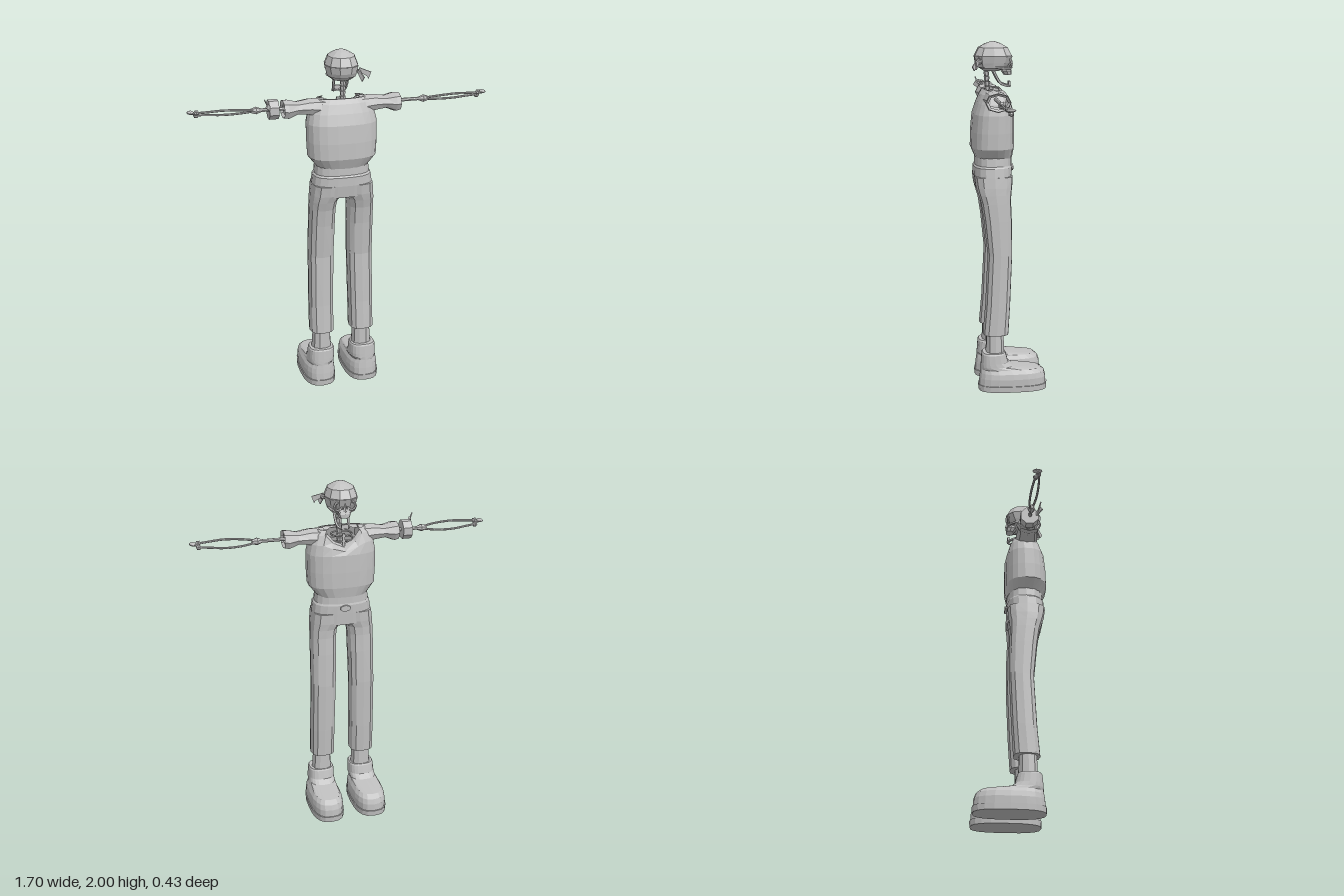
import * as THREE from 'three';

const grey = new THREE.MeshStandardMaterial({ color: 0xc0c0c0, flatShading: true, side: THREE.DoubleSide });
grey.name = 'plain grey';

function add(parent, name, geometry, x = 0, y = 0, z = 0) {
  const mesh = new THREE.Mesh(geometry, grey);
  mesh.name = name;
  mesh.position.set(x, y, z);
  parent.add(mesh);
  return mesh;
}

// Skin over rings of points stacked upwards; optional end caps
function loft(rings, { capStart = true, capEnd = true, closed = true } = {}) {
  const n = rings[0].length, pos = [], idx = [];
  rings.forEach(r => r.forEach(p => pos.push(p[0], p[1], p[2])));
  for (let i = 0; i < rings.length - 1; i++) {
    for (let j = 0; j < (closed ? n : n - 1); j++) {
      const a = i * n + j, b = i * n + (j + 1) % n;
      idx.push(a, a + n, b, b, a + n, b + n);
    }
  }
  const top = (rings.length - 1) * n;
  for (let j = 1; j < n - 1; j++) {
    if (capStart) idx.push(0, j, j + 1);
    if (capEnd) idx.push(top, top + j + 1, top + j);
  }
  const g = new THREE.BufferGeometry();
  g.setAttribute('position', new THREE.Float32BufferAttribute(pos, 3));
  g.setIndex(idx);
  g.computeVertexNormals();
  return g;
}

// Horizontal rounded ring from its extents: [y, xMin, xMax, zMin, zMax]
function ring([y, x0, x1, z0, z1], n = 16, power = 2.6, from = 0, to = Math.PI * 2) {
  const full = to - from > 6.28;
  const soft = v => Math.sign(v) * Math.abs(v) ** (2 / power);
  return Array.from({ length: n }, (_, j) => {
    const a = from + (to - from) * j / (full ? n : n - 1);
    return [(x0 + x1) / 2 + soft(Math.cos(a)) * (x1 - x0) / 2, y, (z0 + z1) / 2 + soft(Math.sin(a)) * (z1 - z0) / 2];
  });
}
const stack = (sections, n, power, options) => loft(sections.map(s => ring(s, n, power)), options);

function tube(points, radius, steps = 10, sides = 6) {
  return new THREE.TubeGeometry(new THREE.CatmullRomCurve3(points.map(p => new THREE.Vector3(...p))), steps, radius, sides);
}

function cloth(points) {
  const shape = new THREE.Shape(points.map(p => new THREE.Vector2(...p)));
  return new THREE.ExtrudeGeometry(shape, { depth: 0.008, bevelEnabled: false });
}

// One leg with shoe, on the +x side
function buildLeg() {
  const leg = new THREE.Group();
  leg.name = 'leg';
  add(leg, 'trouserLeg', stack([
    [0.33, 0.05, 0.19, 0.01, 0.16], [0.5, 0.048, 0.19, 0.0, 0.145], [0.8, 0.042, 0.188, -0.012, 0.13],
    [1.0, 0.038, 0.186, -0.01, 0.15], [1.1, 0.037, 0.184, -0.006, 0.165], [1.15, 0.03, 0.182, -0.008, 0.18],
    [1.19, 0.0, 0.18, -0.015, 0.192], [1.25, 0.0, 0.173, -0.018, 0.2]], 12, 2.8));
  add(leg, 'ankle', stack([[0.2, 0.062, 0.182, 0.035, 0.145], [0.36, 0.07, 0.172, 0.04, 0.14]], 10, 2.3));
  add(leg, 'sole', stack([[0, 0.033, 0.229, -0.21, 0.188], [0.034, 0.031, 0.231, -0.213, 0.19]], 20, 2.8));
  add(leg, 'shoe', stack([
    [0.03, 0.037, 0.225, -0.207, 0.186], [0.075, 0.035, 0.227, -0.205, 0.182], [0.105, 0.04, 0.222, -0.195, 0.178],
    [0.126, 0.052, 0.21, -0.168, 0.175], [0.142, 0.05, 0.205, -0.015, 0.174], [0.165, 0.05, 0.203, 0.015, 0.172],
    [0.215, 0.05, 0.2, 0.028, 0.168], [0.224, 0.055, 0.195, 0.033, 0.163]], 20, 2.8));
  return leg;
}

// One sleeve with skeletal arm, on the +x side
function buildArm() {
  const arm = new THREE.Group();
  arm.name = 'arm';
  const sections = [[0.1, 1.63, 1.738, 0.025, 0.155], [0.18, 1.645, 1.737, 0.025, 0.15], [0.25, 1.655, 1.725, 0.03, 0.142],
    [0.305, 1.632, 1.739, 0.015, 0.158], [0.33, 1.638, 1.738, 0.022, 0.155], [0.315, 1.65, 1.725, 0.035, 0.14]];
  add(arm, 'sleeve', loft(sections.map(([x, y0, y1, z0, z1]) =>
    ring([x, y0, y1, z0, z1], 8, 2.2).map(p => [p[1], p[0], p[2]]).reverse()), { capEnd: false }));
  const bone = (name, x0, x1, r0, r1, y = 1.69) => {
    const g = new THREE.CylinderGeometry(r1, r0, x1 - x0, 7).rotateZ(-Math.PI / 2);
    return add(arm, name, g, (x0 + x1) / 2, y, 0.085);
  };
  bone('upperArmBone', 0.12, 0.46, 0.011, 0.01);
  bone('elbowFlare', 0.445, 0.475, 0.009, 0.021);
  bone('elbow', 0.475, 0.505, 0.022, 0.012);
  for (const s of [-1, 1]) {
    add(arm, 'forearmBone', tube([[0.495, 1.69 + s * 0.006, 0.085 + s * 0.008], [0.56, 1.69 + s * 0.014, 0.085 + s * 0.018],
      [0.66, 1.692 + s * 0.018, 0.085 + s * 0.021], [0.74, 1.694 + s * 0.012, 0.085 + s * 0.016],
      [0.8, 1.695 + s * 0.008, 0.085 + s * 0.01]], 0.0065));
    add(arm, 'wristKnob', new THREE.IcosahedronGeometry(0.016, 0), 0.8, 1.695 + s * 0.01, 0.085 + s * 0.008);
  }
  bone('wrist', 0.8, 0.835, 0.01, 0.007, 1.7);
  add(arm, 'hand', new THREE.IcosahedronGeometry(1, 1).scale(0.019, 0.009, 0.027), 0.831, 1.705, 0.083);
  return arm;
}

function buildTorso() {
  const torso = new THREE.Group();
  torso.name = 'torso';
  add(torso, 'hips', stack([
    [1.18, -0.175, 0.175, -0.014, 0.19], [1.25, -0.172, 0.172, -0.018, 0.2], [1.3, -0.165, 0.165, -0.02, 0.2],
    [1.31, -0.156, 0.156, -0.017, 0.192], [1.37, -0.15, 0.15, -0.017, 0.19]], 18, 2.7));
  add(torso, 'beltBuckle', new THREE.CylinderGeometry(0.026, 0.026, 0.012, 10).rotateX(Math.PI / 2).scale(1.2, 0.7, 1), 0, 1.285, -0.023);

  const body = [[1.35, -0.145, 0.145, -0.02, 0.19], [1.41, -0.192, 0.192, -0.03, 0.215], [1.5, -0.197, 0.197, -0.031, 0.213],
    [1.6, -0.198, 0.198, -0.029, 0.203], [1.66, -0.185, 0.185, -0.018, 0.182], [1.71, -0.16, 0.16, 0.005, 0.16],
    [1.735, -0.135, 0.135, 0.03, 0.138]];
  // Shirt front scoops down into a deep neckline
  const shirt = body.map(([y, x0, x1, z0, z1]) => ring([y, x0 * 0.96, x1 * 0.96, z0, z1 - 0.01], 20, 2.7).map(([x, py, z]) => {
    const front = z < 0.07 ? Math.max(0, 1 - (x / 0.1) ** 2) : 0;
    return [x, py - front * Math.max(0, py - 1.6) * 0.65, z];
  }));
  add(torso, 'shirt', loft(shirt, { capStart: true, capEnd: false }));
  // Open jacket wraps the sides and back
  const gap = 0.62;
  add(torso, 'jacket', loft(body.map(s => ring(s, 18, 2.7, -Math.PI / 2 + gap, Math.PI * 1.5 - gap)),
    { capStart: false, capEnd: false, closed: false }));
  add(torso, 'jacketYoke', loft([ring(body[6], 18, 2.7, -0.3, Math.PI + 0.3), ring([1.722, -0.07, 0.07, 0.05, 0.13], 18, 2, -0.3, Math.PI + 0.3)],
    { capStart: false, capEnd: false, closed: false }));
  // Ribs and breastbone inside the neckline
  for (let i = 0; i < 3; i++) {
    const w = 0.06 + i * 0.012, y = 1.7 - i * 0.03;
    add(torso, 'rib', new THREE.TorusGeometry(1, 0.09, 5, 14).rotateX(Math.PI / 2).scale(w, 0.06, 0.05), 0, y, 0.07);
  }
  add(torso, 'breastbone', new THREE.BoxGeometry(0.016, 0.09, 0.01), 0, 1.67, 0.02);
  return torso;
}

function buildHead() {
  const head = new THREE.Group();
  head.name = 'head';
  // Spine of small stacked vertebrae
  for (let i = 0; i < 8; i++) {
    add(head, 'vertebra', new THREE.CylinderGeometry(0.017, 0.013, 0.026, 6), 0, 1.65 + i * 0.028, 0.112 + i * 0.0015);
  }
  add(head, 'skullBase', stack([[1.836, -0.05, 0.05, 0.05, 0.14], [1.852, -0.073, 0.073, 0.01, 0.165], [1.88, -0.078, 0.078, 0.0, 0.175]], 10, 2.3));
  add(head, 'bandanaBand', stack([[1.857, -0.078, 0.078, 0.005, 0.175], [1.88, -0.085, 0.085, -0.012, 0.188],
    [1.917, -0.094, 0.094, -0.028, 0.195]], 10, 2.3));
  add(head, 'bandanaTop', stack([[1.91, -0.09, 0.09, -0.022, 0.19], [1.92, -0.093, 0.093, -0.025, 0.194], [1.966, -0.075, 0.075, 0.0, 0.17],
    [1.988, -0.04, 0.04, 0.04, 0.13], [2.0, -0.008, 0.008, 0.077, 0.093]], 10, 2.2));
  // Face bones around open sockets
  add(head, 'upperJaw', stack([[1.813, -0.03, 0.03, -0.022, 0.025], [1.835, -0.04, 0.04, -0.022, 0.04], [1.86, -0.03, 0.03, -0.01, 0.04]], 8, 2.3));
  add(head, 'noseBridge', new THREE.ConeGeometry(0.014, 0.05, 4), 0, 1.875, -0.014);
  for (const s of [-1, 1]) {
    add(head, 'eyeSocket', new THREE.TorusGeometry(0.024, 0.007, 5, 8), s * 0.038, 1.88, -0.006).rotation.y = s * 0.35;
    add(head, 'cheekbone', tube([[s * 0.03, 1.85, -0.012], [s * 0.062, 1.852, 0.02], [s * 0.072, 1.86, 0.08]], 0.008, 6, 5));
  }
  // Hanging lower jaw
  const side = s => [[s * 0.04, 1.845, 0.088], [s * 0.038, 1.8, 0.066], [s * 0.034, 1.768, 0.045], [s * 0.026, 1.753, 0.01]];
  add(head, 'lowerJaw', tube([...side(-1), [0, 1.75, -0.01], ...side(1).reverse()], 0.008, 24, 5));
  add(head, 'lowerTeeth', new THREE.BoxGeometry(0.04, 0.026, 0.012), 0, 1.763, -0.008);
  // Knot and loose tails
  add(head, 'bandanaKnot', new THREE.IcosahedronGeometry(0.016, 0), 0.08, 1.89, 0.165);
  add(head, 'bandanaTail', cloth([[0, 0.012], [0.065, -0.01], [0.05, -0.05], [0.045, -0.035], [0, -0.012]]), 0.08, 1.9, 0.165).rotation.y = -0.4;
  add(head, 'bandanaTail', cloth([[0, 0.01], [0.04, -0.03], [0.025, -0.055], [0, -0.015]]), 0.075, 1.895, 0.175).rotation.y = -0.9;
  return head;
}

function buildWristWrap() {
  const wrap = new THREE.Group();
  wrap.name = 'armWrap';
  add(wrap, 'wrapBand', new THREE.CylinderGeometry(0.055, 0.055, 0.053, 8).rotateX(0).rotateZ(Math.PI / 2).rotateX(Math.PI / 8), -0.382, 1.69, 0.083);
  add(wrap, 'wrapTail', cloth([[0, 0], [-0.035, 0.075], [-0.018, 0.05], [0.012, 0.012]]), -0.412, 1.69, 0.125).rotation.y = 0.5;
  add(wrap, 'wrapTail', cloth([[0, 0], [-0.045, 0.03], [-0.03, 0.05], [0.01, 0.02]]), -0.408, 1.69, 0.12).rotation.y = 0.85;
  return wrap;
}

export function createModel() {
  const model = new THREE.Group();
  model.name = 'skeletonFigure';
  for (const s of [1, -1]) {
    const half = new THREE.Group();
    half.name = s > 0 ? 'leftLimbs' : 'rightLimbs';
    half.add(buildLeg(), buildArm());
    half.scale.x = s;
    model.add(half);
  }
  model.add(buildTorso(), buildHead(), buildWristWrap());
  return model;
}
